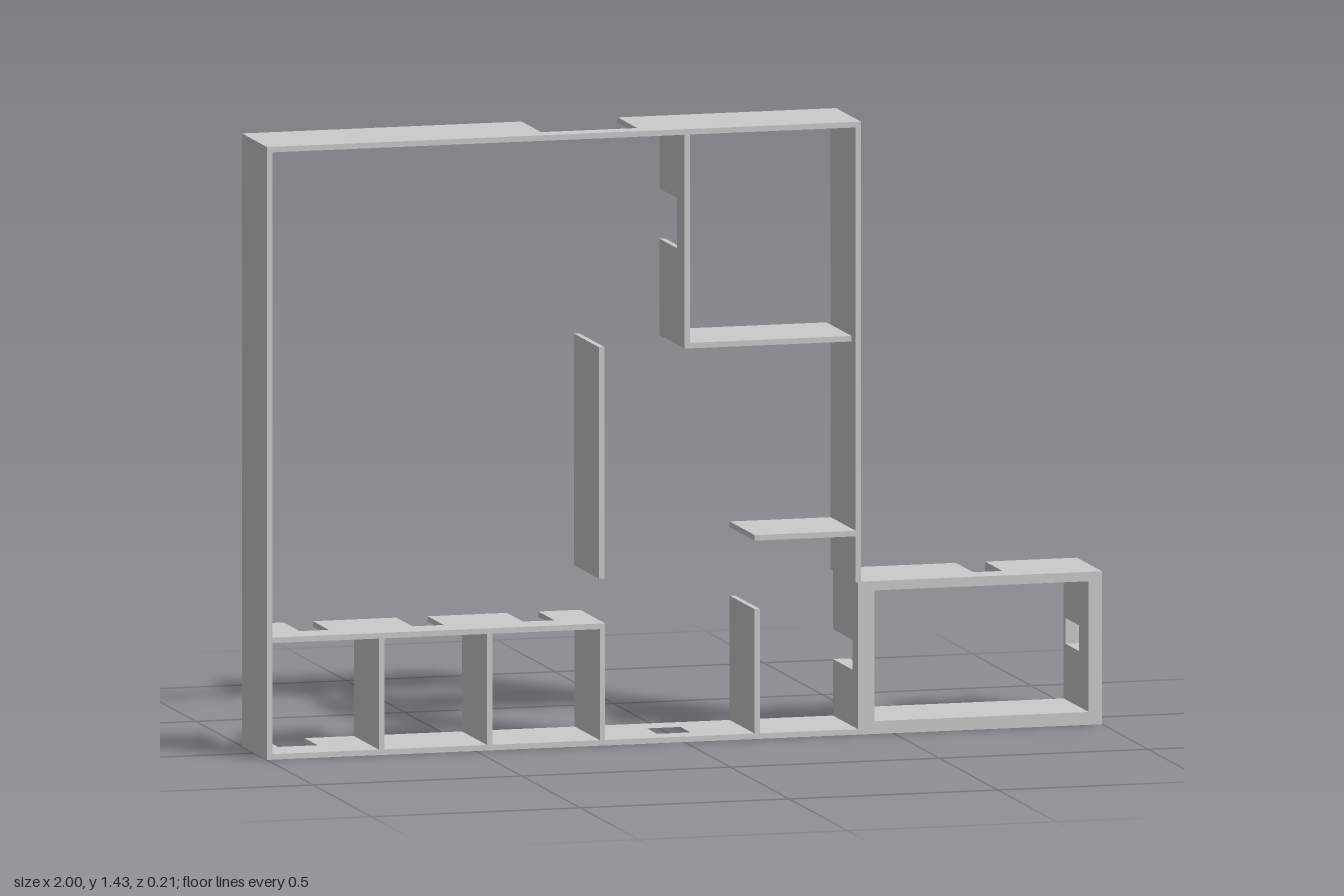
import * as THREE from 'three';

const D = 0.107; // half depth of every wall
const T = 0.013; // thin wall thickness

export function createModel() {
  const group = new THREE.Group();
  const mat = new THREE.MeshStandardMaterial({ color: 0xcccccc, flatShading: true });

  // Outline of a wall: u runs along it, s = -z runs across it.
  // gaps: [u0, u1, z] are cut in from the back edge as far as z.
  // holes: [u0, u1, z0, z1] are closed rectangular openings.
  function panel(u0, u1, thickness, upright, gaps, holes) {
    const pt = (u, s) => (upright ? new THREE.Vector2(s, u) : new THREE.Vector2(u, s));
    const pts = [pt(u0, -D), pt(u0, D)];
    for (const [a, b, z] of gaps) pts.push(pt(a, D), pt(a, -z), pt(b, -z), pt(b, D));
    pts.push(pt(u1, D), pt(u1, -D));
    const shape = new THREE.Shape(pts);
    for (const [a, b, z0, z1] of holes) {
      shape.holes.push(new THREE.Path([pt(a, -z0), pt(b, -z0), pt(b, -z1), pt(a, -z1)]));
    }
    const geo = new THREE.ExtrudeGeometry(shape, { depth: thickness, bevelEnabled: false });
    return upright ? geo.rotateY(Math.PI / 2) : geo.rotateX(-Math.PI / 2);
  }

  function add(name, geo, x, y) {
    const mesh = new THREE.Mesh(geo, mat);
    mesh.name = name;
    mesh.position.set(x, y, 0);
    group.add(mesh);
  }

  // Level wall from x0 to x1 with its underside at y
  function level(name, x0, x1, y, t = T, gaps = [], holes = []) {
    add(name, panel(x0, x1, t, false, gaps, holes), 0, y);
  }

  // Upright wall from y0 to y1 with its -x face at x
  function upright(name, x, y0, y1, t = T, gaps = [], holes = []) {
    add(name, panel(y0, y1, t, true, gaps, holes), x, 0);
  }

  // Outer walls of the main block
  level('bottomWall', -1, 0.415, 0, T, [[-0.945, -0.85, 0.005]], [[-0.05, 0.03, -0.035, 0.05]]);
  level('topWall', -1, 0.423, 1.43 - T, T, [[-0.33, -0.1, 0.06]]);
  upright('outerWallLeftSide', -1, T, 1.43 - T);
  upright('outerWallRightSide', 0.41, 0.355, 1.43 - T);

  // Row of three small rooms
  level('smallRoomsWall', -1 + T, -0.19, 0.285 - T, T,
    [[-0.9, -0.83, 0.03], [-0.63, -0.555, 0.03], [-0.365, -0.29, 0.03]]);
  for (const x of [-0.732, -0.473, -0.203]) upright('smallRoomPartition', x, T, 0.285 - T);

  // Upper corner room
  upright('cornerRoomDoorWall', 0, 0.918, 1.43 - T, T, [[1.143, 1.26, 0.042]]);
  level('cornerRoomWall', T, 0.4, 0.918);

  // Free standing partitions
  upright('centrePartition', -0.205, 0.39, 0.93);
  upright('entryPartition', 0.168, T, 0.303);
  level('sidePartition', 0.168, 0.41, 0.463);

  // Annex with thicker walls
  level('annexBottomWall', 0.415, 1, 0, 0.03);
  level('annexTopWall', 0.415, 1, 0.335, 0.022, [[0.71, 0.78, 0.04]]);
  upright('annexDoorWall', 0.415, 0.03, 0.335, 0.04, [[0.145, 0.215, 0.06]]);
  upright('annexWindowWall', 0.968, 0.03, 0.335, 0.032, [], [[0.16, 0.22, -0.09, 0.022]]);

  return group;
}
